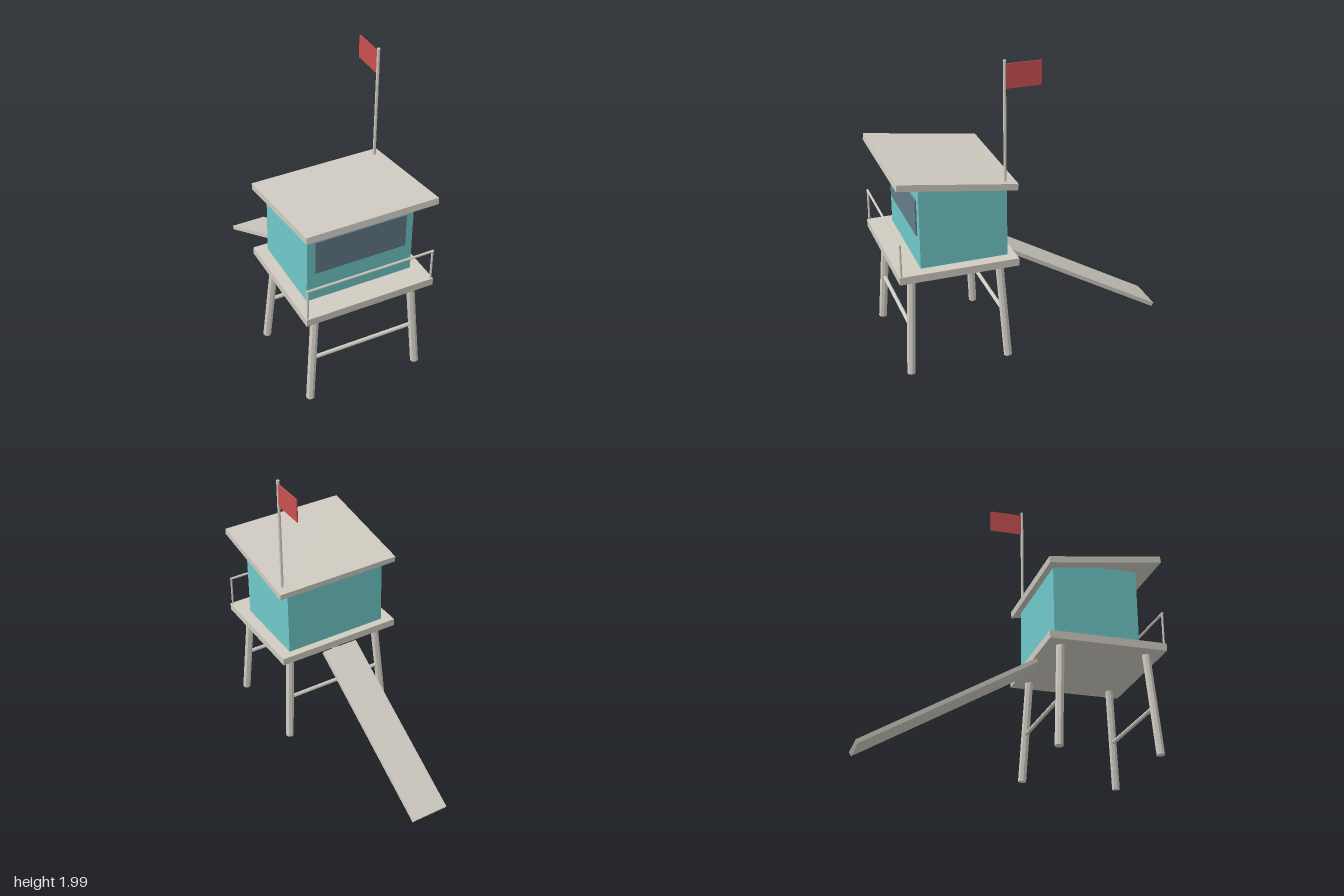
import * as THREE from 'three';

export function createModel() {
  const model = new THREE.Group();
  model.name = 'lifeguardHut';

  const material = (name, color) => {
    const m = new THREE.MeshStandardMaterial({ color, flatShading: true });
    m.name = name;
    return m;
  };
  const wood = material('weathered wood', 0xd0ccc2);
  const teal = material('teal wall', 0x70c8c8);
  const glass = material('blue grey glass', 0x647c88);
  const red = material('red cloth', 0xca5050);

  const add = (name, geometry, mat, x, y, z) => {
    const mesh = new THREE.Mesh(geometry, mat);
    mesh.name = name;
    mesh.position.set(x, y, z);
    model.add(mesh);
    return mesh;
  };
  const box = (name, mat, w, h, d, x, y, z) =>
    add(name, new THREE.BoxGeometry(w, h, d), mat, x, y, z);

  // Round bar running between two points
  const up = new THREE.Vector3(0, 1, 0);
  const bar = (name, a, b, radius, sides = 8) => {
    const start = new THREE.Vector3(...a);
    const dir = new THREE.Vector3(...b).sub(start);
    const mid = start.clone().addScaledVector(dir, 0.5);
    const mesh = add(name, new THREE.CylinderGeometry(radius, radius, dir.length(), sides),
      wood, mid.x, mid.y, mid.z);
    mesh.quaternion.setFromUnitVectors(up, dir.normalize());
  };

  // Deck, cabin and window
  box('deck', wood, 0.864, 0.05, 0.76, 0, 0.702, 0.55);
  box('cabin', teal, 0.714, 0.51, 0.556, 0, 0.982, 0.5);
  box('window', glass, 0.61, 0.23, 0.0099, 0, 1.045, 0.7835);

  // Roof, sloping down to the back
  const roof = box('roof', wood, 0.864, 0.042, 0.756, 0, 1.262, 0.55);
  roof.rotation.x = -0.14;

  // Splayed legs, with a cross brace for each front and back pair
  for (const s of [1, -1]) {
    const end = s > 0 ? 'front' : 'back';
    for (const side of [1, -1]) {
      bar(end + 'Leg', [side * 0.377, 0.014, 0.55 + s * 0.321],
        [side * 0.328, 0.69, 0.55 + s * 0.281], 0.027);
    }
    const z = 0.55 + s * 0.302;
    bar(end + 'Brace', [-0.355, 0.325, z], [0.355, 0.325, z], 0.013);
  }

  // Front railing
  for (const side of [1, -1]) {
    bar('railPost', [side * 0.42, 0.72, 0.917], [side * 0.42, 0.935, 0.917], 0.007);
  }
  bar('handrail', [-0.427, 0.935, 0.917], [0.427, 0.935, 0.917], 0.008);

  // Ramp from the ground up to the back of the deck
  const ramp = box('ramp', wood, 0.252, 0.027, 1.273, 0, 0.336, -0.369);
  ramp.rotation.x = -Math.PI / 6;

  // Flag on its pole
  bar('flagPole', [0.381, 1.22, 0.242], [0.381, 2, 0.242], 0.01);
  box('flag', red, 0.008, 0.152, 0.224, 0.381, 1.901, 0.125);

  return model;
}
